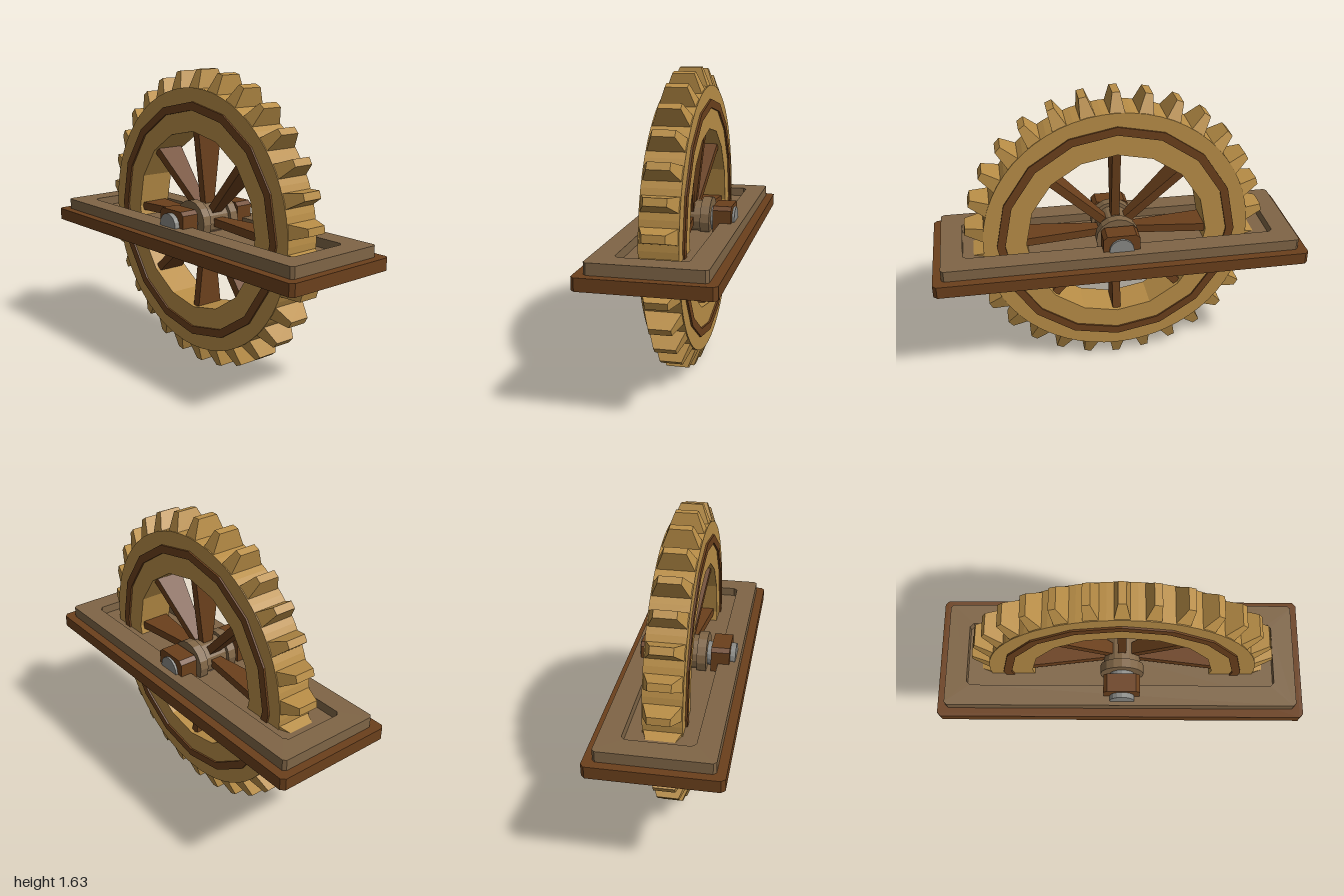
import * as THREE from 'three';

const mat = (color) => new THREE.MeshStandardMaterial({ color, flatShading: true });
const gold = mat(0xb98e47), wood = mat(0x6b401c), tan = mat(0x7f6546), steel = mat(0x8a8a86);

function add(parent, name, geometry, material, x = 0, y = 0, z = 0) {
  const mesh = new THREE.Mesh(geometry, material);
  mesh.name = name;
  mesh.position.set(x, y, z);
  parent.add(mesh);
  return mesh;
}

// Regular polygon outline with a corner on the vertical axis
function polygon(radius, sides) {
  return Array.from({ length: sides }, (_, i) => {
    const a = Math.PI / 2 + (i / sides) * Math.PI * 2;
    return new THREE.Vector2(Math.cos(a) * radius, Math.sin(a) * radius);
  });
}

// Annulus whose axis runs along x, centred on x = 0
function annulus(outer, outerSides, inner, innerSides, width) {
  const shape = new THREE.Shape(polygon(outer, outerSides));
  shape.holes.push(new THREE.Path(polygon(inner, innerSides)));
  return new THREE.ExtrudeGeometry(shape, { depth: width, bevelEnabled: false })
    .translate(0, 0, -width / 2).rotateY(Math.PI / 2);
}

// Rectangle with cut corners
function cutRect(w, h, c) {
  const a = w / 2, b = h / 2;
  return [[a - c, -b], [a, -b + c], [a, b - c], [a - c, b], [-a + c, b], [-a, b - c], [-a, -b + c], [-a + c, -b]]
    .map(([x, y]) => new THREE.Vector2(x, y));
}

// Horizontal slab standing on y = 0, optionally with an opening
function slab(w, d, h, cut, hole) {
  const shape = new THREE.Shape(cutRect(w, d, cut));
  if (hole) shape.holes.push(new THREE.Path(cutRect(hole[0], hole[1], 0.02)));
  return new THREE.ExtrudeGeometry(shape, { depth: h, bevelEnabled: false }).rotateX(-Math.PI / 2);
}

// Radial bar from r0 to r1 with different cross-sections at its two ends
function taperedBar(r0, r1, [x0, z0], [x1, z1]) {
  const geometry = new THREE.BoxGeometry(1, 1, 1);
  const p = geometry.attributes.position;
  for (let i = 0; i < p.count; i++) {
    const end = p.getY(i) > 0;
    p.setXYZ(i, p.getX(i) * (end ? x1 : x0), end ? r1 : r0, p.getZ(i) * (end ? z1 : z0));
  }
  geometry.computeVertexNormals();
  return geometry;
}

const drum = (radius, length, sides) =>
  new THREE.CylinderGeometry(radius, radius, length, sides).rotateZ(Math.PI / 2);

export function createModel() {
  const model = new THREE.Group();
  model.name = 'cogwheelOnBase';

  // Base plate and the raised frame with a shallow recess
  add(model, 'basePlate', slab(0.68, 2, 0.066, 0.02), wood, 0, 0.69, 0);
  add(model, 'recessFloor', slab(0.5, 1.8, 0.012, 0.02), tan, 0, 0.755, 0);
  add(model, 'raisedFrame', slab(0.586, 1.91, 0.06, 0.015, [0.36, 1.68]), tan, 0, 0.756, 0);

  // Wheel
  const wheel = new THREE.Group();
  wheel.name = 'wheel';
  wheel.position.set(0.005, 0.82, 0.01);
  model.add(wheel);
  add(wheel, 'rim', annulus(0.72, 60, 0.49, 16, 0.2), gold);
  for (const side of [-1, 1])
    add(wheel, 'rimBand', annulus(0.648, 16, 0.603, 16, 0.02), wood, side * 0.1);

  // Teeth
  const toothGeometry = taperedBar(0.705, 0.815, [0.2, 0.084], [0.115, 0.04]);
  for (let i = 0; i < 30; i++)
    add(wheel, 'tooth', toothGeometry, gold).rotation.x = (i / 30) * Math.PI * 2;

  // Spokes widen towards the rim
  const spokeGeometry = taperedBar(0.08, 0.495, [0.06, 0.045], [0.16, 0.045]);
  for (let i = 0; i < 8; i++)
    add(wheel, 'spoke', spokeGeometry, wood).rotation.x = (i / 8) * Math.PI * 2;

  // Hub with a flange at each end
  add(wheel, 'hubBarrel', drum(0.098, 0.2, 16), tan);
  for (const side of [-1, 1])
    add(wheel, 'hubFlange', drum(0.118, 0.05, 16), tan, side * 0.096);

  // Axle and its bearing blocks
  add(model, 'axle', drum(0.066, 0.525, 16), steel, -0.008, 0.823, 0.01);
  const outline = [[-0.098, 0], [0.098, 0], [0.098, 0.125], [0.078, 0.145], [-0.078, 0.145], [-0.098, 0.125]];
  const blockShape = new THREE.Shape(outline.map(([x, y]) => new THREE.Vector2(x, y)));
  const blockGeometry = new THREE.ExtrudeGeometry(blockShape, { depth: 0.1, bevelEnabled: false })
    .translate(0, 0, -0.05).rotateY(Math.PI / 2);
  for (const side of [-1, 1])
    add(model, 'bearingBlock', blockGeometry, wood, side * 0.192, 0.76, 0.008);

  return model;
}
